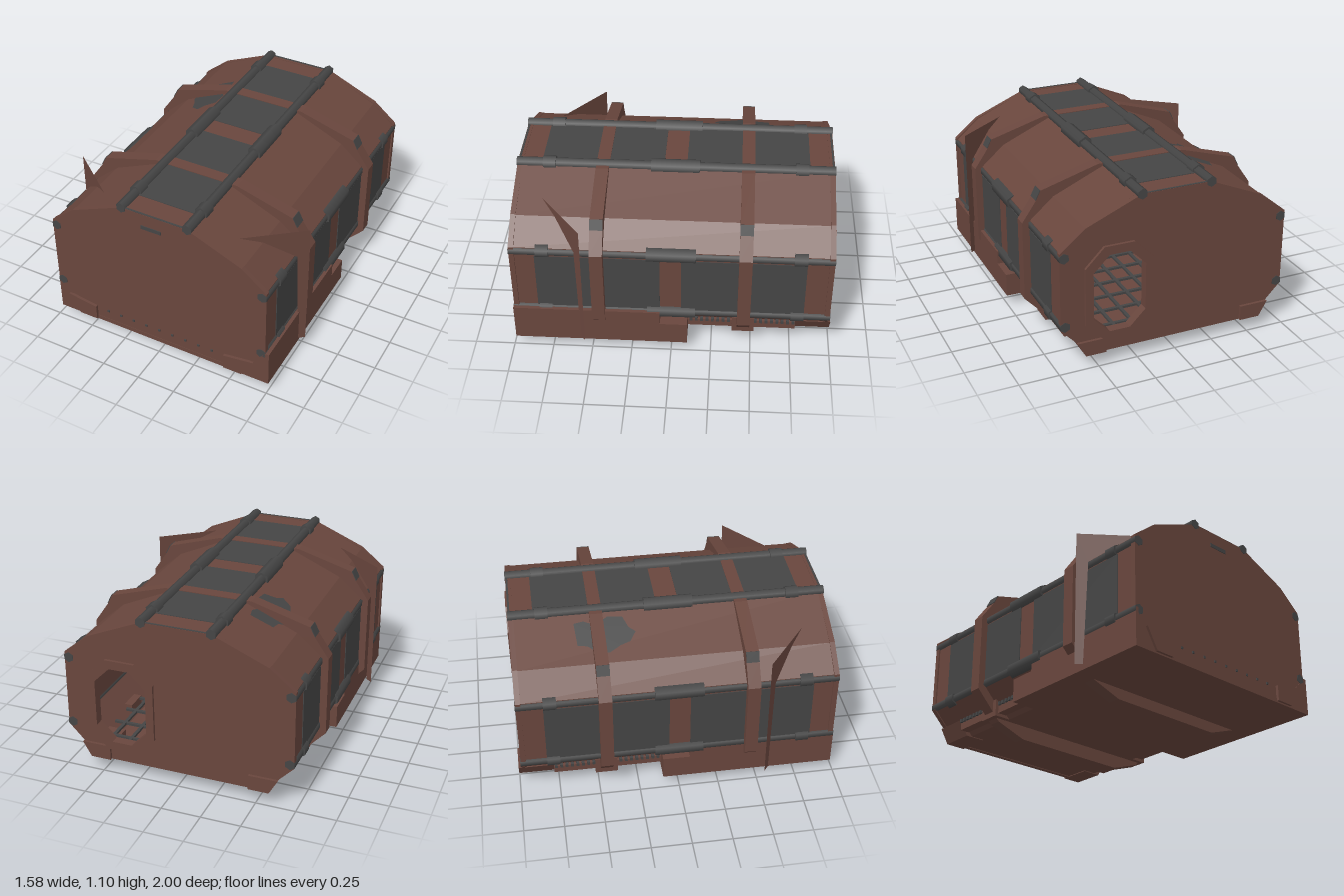
import * as THREE from 'three';

const rust = new THREE.MeshStandardMaterial({ color: 0x69463d, side: THREE.DoubleSide });
rust.name = 'rust brown';
const steel = new THREE.MeshStandardMaterial({ color: 0x454545 });
steel.name = 'dark steel grey';

const poly = (pts) => new THREE.Shape(pts.map(([x, y]) => new THREE.Vector2(x, y)));
// mirror the +x half of an outline (listed bottom to top) into a closed loop
const mirrored = (half) => [...half, ...half.map(([x, y]) => [-x, y]).reverse()];

export function createModel() {
  const model = new THREE.Group();
  model.name = 'cargoModule';

  const add = (name, geo, mat, x = 0, y = 0, z = 0) => {
    const m = new THREE.Mesh(geo, mat);
    m.name = name;
    m.position.set(x, y, z);
    model.add(m);
    return m;
  };
  const box = (name, mat, w, h, d, x, y, z) => add(name, new THREE.BoxGeometry(w, h, d), mat, x, y, z);
  // outline in x/y extruded from z0 to z1, with optional hole outlines
  const slab = (name, mat, pts, z0, z1, holes = []) => {
    const s = poly(pts);
    holes.forEach((h) => s.holes.push(poly(h)));
    return add(name, new THREE.ExtrudeGeometry(s, { depth: z1 - z0, bevelEnabled: false }), mat, 0, 0, z0);
  };
  const octagon = (cx, cy, w, h, c) => [
    [cx + w - c, cy - h], [cx + w, cy - h + c], [cx + w, cy + h - c], [cx + w - c, cy + h],
    [cx - w + c, cy + h], [cx - w, cy + h - c], [cx - w, cy - h + c], [cx - w + c, cy - h]];

  // hollow hull with closed front and doorway at the back
  const hull = mirrored([[0.54, 0.09], [0.72, 0.28], [0.72, 0.77], [0.57, 0.9], [0.23, 1.05]]);
  const inner = hull.map(([x, y]) => [x * 0.94, 0.55 + (y - 0.55) * 0.93]);
  slab('hullShell', rust, hull, -0.95, 0.95, [inner]);
  const plate = mirrored([[0.54, 0.085], [0.73, 0.28], [0.73, 0.775], [0.57, 0.905], [0.22, 1.053]]);
  slab('frontPlate', rust, plate, 0.95, 0.982);
  const door = octagon(0.365, 0.47, 0.165, 0.25, 0.1);
  slab('backPlate', rust, plate, -0.982, -0.95, [door]);
  slab('doorFrame', rust, octagon(0.365, 0.47, 0.215, 0.305, 0.12), -1, -0.94, [door]);

  // floor grating inside
  for (let i = 0; i < 12; i++) box('floorCrossBar', steel, 1.1, 0.015, 0.02, 0, 0.19, -0.88 + i * 0.16);
  for (let i = 0; i < 9; i++) box('floorLongBar', steel, 0.02, 0.015, 1.86, -0.48 + i * 0.12, 0.19, 0);

  // lower skirt around the front half, lower behind the step
  const skirt = (top, inX, inY) => [[-0.73, 0.07], [0.755, 0.07], [0.755, top], [inX, top], [inX, inY],
    [0.53, 0.1], [-0.53, 0.1], [-inX, inY], [-inX, top], [-0.73, top]];
  slab('frontSkirt', rust, skirt(0.31, 0.71, 0.285), 0.07, 0.985);
  slab('rearSkirt', rust, skirt(0.22, 0.645, 0.215), -0.1, 0.07);

  // two encircling bands with grey shoulder faces
  const band = mirrored([[0.4, 0], [0.6, 0.07], [0.77, 0.25], [0.77, 0.76], [0.68, 0.89], [0.65, 0.95], [0.28, 1.058]]);
  for (const z of [-0.45, 0.45]) {
    slab('hoopBand', rust, band, z - 0.04, z + 0.04, [inner]);
    for (const s of [-1, 1]) {
      slab('bandShoulder', steel, [[0.65, 0.95], [0.68, 0.89], [0.684, 0.892], [0.654, 0.952]].map(([x, y]) => [s * x, y]),
        z - 0.04, z + 0.04);
    }
  }

  // six-sided pipes with end collars and a long middle sleeve
  const pipe = (x, y) => {
    const rod = (name, r, len, z) => {
      const g = new THREE.CylinderGeometry(r, r, len, 6);
      g.rotateY(Math.PI / 6).rotateX(Math.PI / 2).rotateZ(Math.PI / 6);
      add(name, g, steel, x, y, z);
    };
    rod('railPipe', 0.033, 1.97, 0);
    rod('pipeSleeve', 0.048, 0.3, 0);
    for (const z of [-0.78, 0.78]) rod('pipeCollar', 0.044, 0.08, z);
  };

  // trapezoid bumper outline
  const bumper = [[0.58, 0.08], [0.655, 0.21], [0.455, 0.18], [0.455, 0.08]];
  // upright angled fin, outline given as (z, y)
  const fin = [[0.8, 0.95], [0.54, 0.95], [0.54, 0.09], [0.57, 0.09], [0.585, 0.76], [0.7, 0.86], [0.73, 0.91]];

  for (const s of [-1, 1]) {
    pipe(s * 0.22, 1.052);
    pipe(s * 0.703, 0.742);
    pipe(s * 0.703, 0.3);

    // panels on flank and roof
    for (const z of [-0.44, 0.45]) box('sidePanel', steel, 0.008, 0.4, 0.76, s * 0.721, 0.51, z);
    box('roofPanel', steel, 0.4, 0.008, 0.76, 0, 1.05, s * 0.45);
    box('endTrim', steel, 0.4, 0.006, 0.012, 0, 1.053, s * 0.974);

    slab('frontBumper', rust, bumper.map(([x, y]) => [s * x, y]), 0.9, 1);
    slab('backBumper', rust, [[0.58, 0.085], [0.635, 0.18], [0.45, 0.18], [0.45, 0.085]].map(([x, y]) => [s * x, y]), -1, -0.78);

    const g = new THREE.ShapeGeometry(poly(fin));
    const p = g.attributes.position;
    for (let i = 0; i < p.count; i++) {
      const z = p.getX(i);
      p.setXYZ(i, s * (0.79 - (z - 0.54) * 1.27), p.getY(i), z);
    }
    g.computeVertexNormals();
    add('angledFin', g, rust);

    // toothed rack beneath the rear half
    box('rackRail', rust, 0.06, 0.05, 0.68, s * 0.6, 0.135, -0.44);
    for (let i = 0; i < 20; i++) box('rackTooth', steel, 0.04, 0.022, 0.018, s * 0.625, 0.168, -0.12 - i * 0.034);
    box('rackBracket', rust, 0.12, 0.11, 0.14, s * 0.59, 0.145, -0.45);
  }

  // front slot and row of rivets
  box('frontSlot', steel, 0.135, 0.025, 0.008, -0.022, 0.96, 0.982);
  for (let i = 0; i < 9; i++) box('rivet', steel, 0.014, 0.014, 0.006, -0.37 + i * 0.0925, 0.17, 0.986);

  // worn patch lying on the right roof slope, outline given as (x, z)
  const patch = new THREE.ShapeGeometry(poly([[-0.45, -0.58], [-0.31, -0.59], [-0.3, -0.53], [-0.33, -0.46], [-0.28, -0.38],
    [-0.29, -0.29], [-0.36, -0.26], [-0.39, -0.22], [-0.45, -0.26], [-0.47, -0.32], [-0.51, -0.39], [-0.5, -0.47], [-0.46, -0.52]]));
  const q = patch.attributes.position;
  for (let i = 0; i < q.count; i++) {
    const x = q.getX(i), z = q.getY(i);
    q.setXYZ(i, x, 0.904 + (x + 0.57) * (0.15 / 0.34), z);
  }
  // the outline swap flips the winding, so reverse each triangle
  const idx = patch.index.array;
  for (let i = 0; i < idx.length; i += 3) [idx[i], idx[i + 1]] = [idx[i + 1], idx[i]];
  patch.computeVertexNormals();
  add('wornPatch', patch, steel);

  return model;
}
